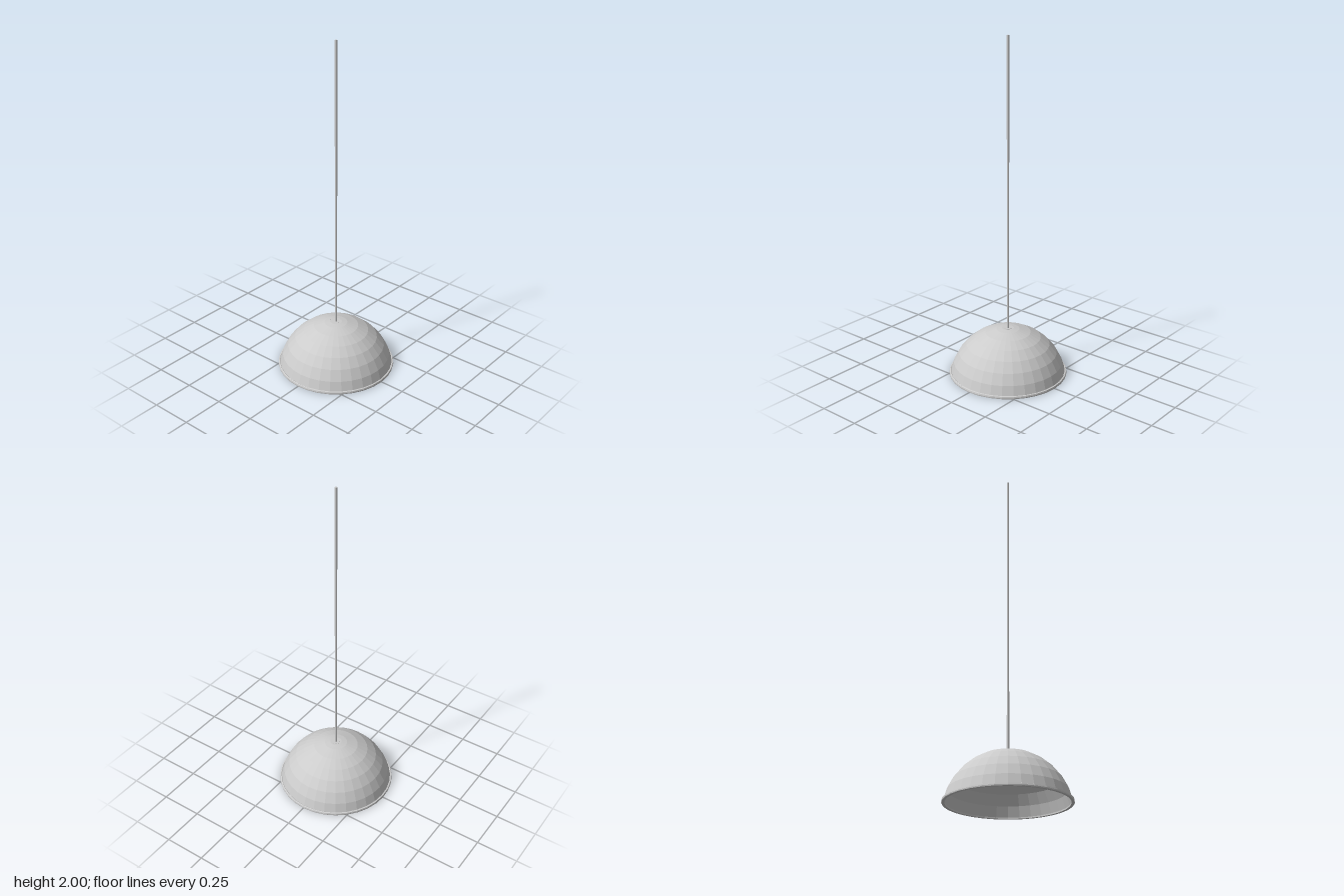
import * as THREE from 'three';

const material = new THREE.MeshStandardMaterial({ color: 0xcccccc, flatShading: true, side: THREE.DoubleSide });
const smooth = new THREE.MeshStandardMaterial({ color: 0xcccccc });

const SEGMENTS = 32;
const STEP = Math.PI / 16; // angle between dome rings
const RADIUS = 0.35;
const CENTRE_Y = -0.065;

// Profile of one spherical shell, from the top opening down to the rim
function arc(radius, openingRadius) {
  const angles = [Math.asin(openingRadius / radius), 1, 2, 3, 4, 5, 6, 7]
    .map((a, i) => (i === 0 ? a : a * STEP));
  return angles.map(a => new THREE.Vector2(
    radius * Math.sin(a), Math.max(0.003, CENTRE_Y + radius * Math.cos(a))));
}

export function createModel() {
  const model = new THREE.Group();
  model.name = 'pendantLamp';

  const add = (name, geometry, y = 0, mat = smooth) => {
    const mesh = new THREE.Mesh(geometry, mat);
    mesh.name = name;
    mesh.position.y = y;
    model.add(mesh);
    return mesh;
  };

  // Faceted dome with an outer and an inner skin
  const outer = arc(RADIUS, 0.035);
  const inner = arc(RADIUS - 0.008, 0.035);
  const profile = [...inner, ...outer.reverse(), inner[0]];
  add('shade', new THREE.LatheGeometry(profile, SEGMENTS), 0, material);

  // Thin lip around the open edge
  const lip = [[0.334, 0], [0.35, 0], [0.351, 0.006], [0.349, 0.014], [0.343, 0.016], [0.334, 0.01], [0.334, 0]]
    .map(([x, y]) => new THREE.Vector2(x, y));
  add('rim', new THREE.LatheGeometry(lip, SEGMENTS), 0, material);

  // Fitting that closes the top opening, with the bulb socket below
  add('topCap', new THREE.CylinderGeometry(0.035, 0.035, 0.012, 32), 0.277);
  add('socket', new THREE.CylinderGeometry(0.024, 0.024, 0.1, 32), 0.234);

  // Bulb
  add('bulb', new THREE.SphereGeometry(0.031, 24, 16), 0.163);

  // Long hanging cord
  add('cord', new THREE.CylinderGeometry(0.007, 0.007, 1.72, 16), 1.14);

  return model;
}
